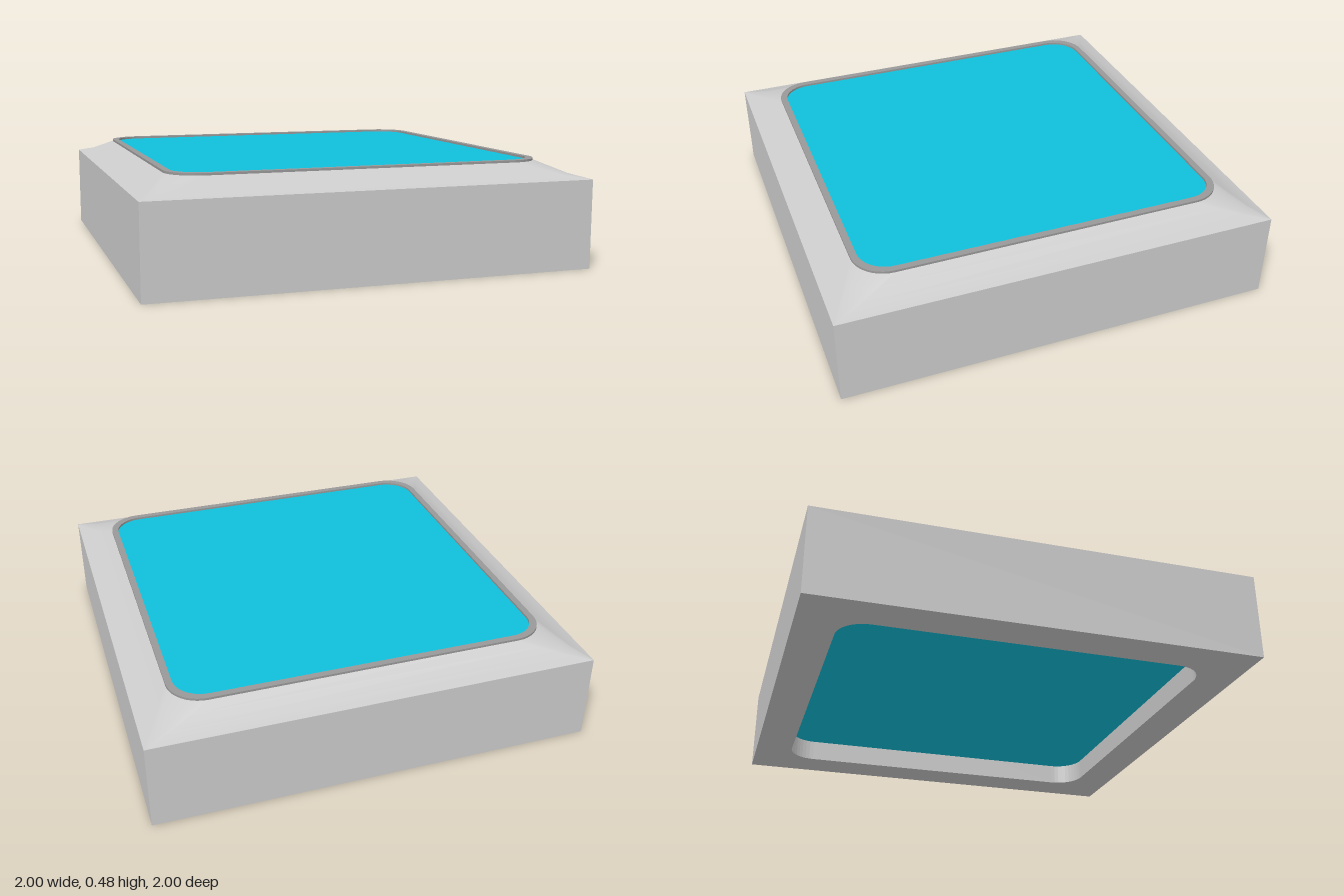
import * as THREE from 'three';

const grey = () => new THREE.MeshStandardMaterial({ color: 0xcccccc });

// Points of a rounded square, counter-clockwise; radius 0 gives a sharp square
function roundedSquare(half, radius, steps = 10) {
  const points = [];
  for (let corner = 0; corner < 4; corner++) {
    const mid = (corner + 0.5) * Math.PI / 2;
    const cx = Math.sign(Math.cos(mid)) * (half - radius);
    const cy = Math.sign(Math.sin(mid)) * (half - radius);
    for (let i = 0; i <= steps; i++) {
      const a = (corner + i / steps) * Math.PI / 2;
      points.push(new THREE.Vector2(cx + radius * Math.cos(a), cy + radius * Math.sin(a)));
    }
  }
  return points;
}

// Upright slab between two heights, with an optional hole
function slab(name, outline, hole, y0, y1, material) {
  const shape = new THREE.Shape(outline);
  if (hole) shape.holes.push(new THREE.Path(hole));
  const geometry = new THREE.ExtrudeGeometry(shape, { depth: y1 - y0, bevelEnabled: false });
  geometry.rotateX(-Math.PI / 2).translate(0, y0, 0);
  const mesh = new THREE.Mesh(geometry, material);
  mesh.name = name;
  return mesh;
}

// Smooth skin through rounded squares [half size, corner radius, height]
function loft(name, sections) {
  const positions = [], indices = [];
  const rings = sections.map(([half, radius]) => roundedSquare(half, radius));
  const n = rings[0].length;
  rings.forEach((ring, r) => ring.forEach(p => positions.push(p.x, sections[r][2], -p.y)));
  for (let r = 0; r < rings.length - 1; r++) {
    for (let i = 0; i < n; i++) {
      const a = r * n + i, b = r * n + (i + 1) % n;
      indices.push(a, b, b + n, a, b + n, a + n);
    }
  }
  const geometry = new THREE.BufferGeometry();
  geometry.setAttribute('position', new THREE.Float32BufferAttribute(positions, 3));
  geometry.setIndex(indices);
  geometry.computeVertexNormals();
  const mesh = new THREE.Mesh(geometry, grey());
  mesh.material.side = THREE.DoubleSide;
  mesh.name = name;
  return mesh;
}

export function createModel() {
  const group = new THREE.Group();
  group.name = 'poolTile';
  const opening = roundedSquare(0.82, 0.13);

  // Square base, open through the middle
  group.add(slab('base', roundedSquare(1, 0, 1).filter((p, i) => i % 2 === 0), opening, 0, 0.4, grey()));

  // Bank rising in a gentle concave curve to the rim
  group.add(loft('bank', [[1, 0, 0.4], [0.94, 0.06, 0.419], [0.89, 0.11, 0.447], [0.85, 0.15, 0.47]]));

  // Darker rim around the water
  group.add(slab('rim', roundedSquare(0.85, 0.15), opening, 0.4, 0.48,
    new THREE.MeshStandardMaterial({ color: 0x999999 })));

  // Water body, its underside recessed in the base
  group.add(slab('water', opening, null, 0.1, 0.47,
    new THREE.MeshStandardMaterial({ color: 0x10c0dc })));

  return group;
}
